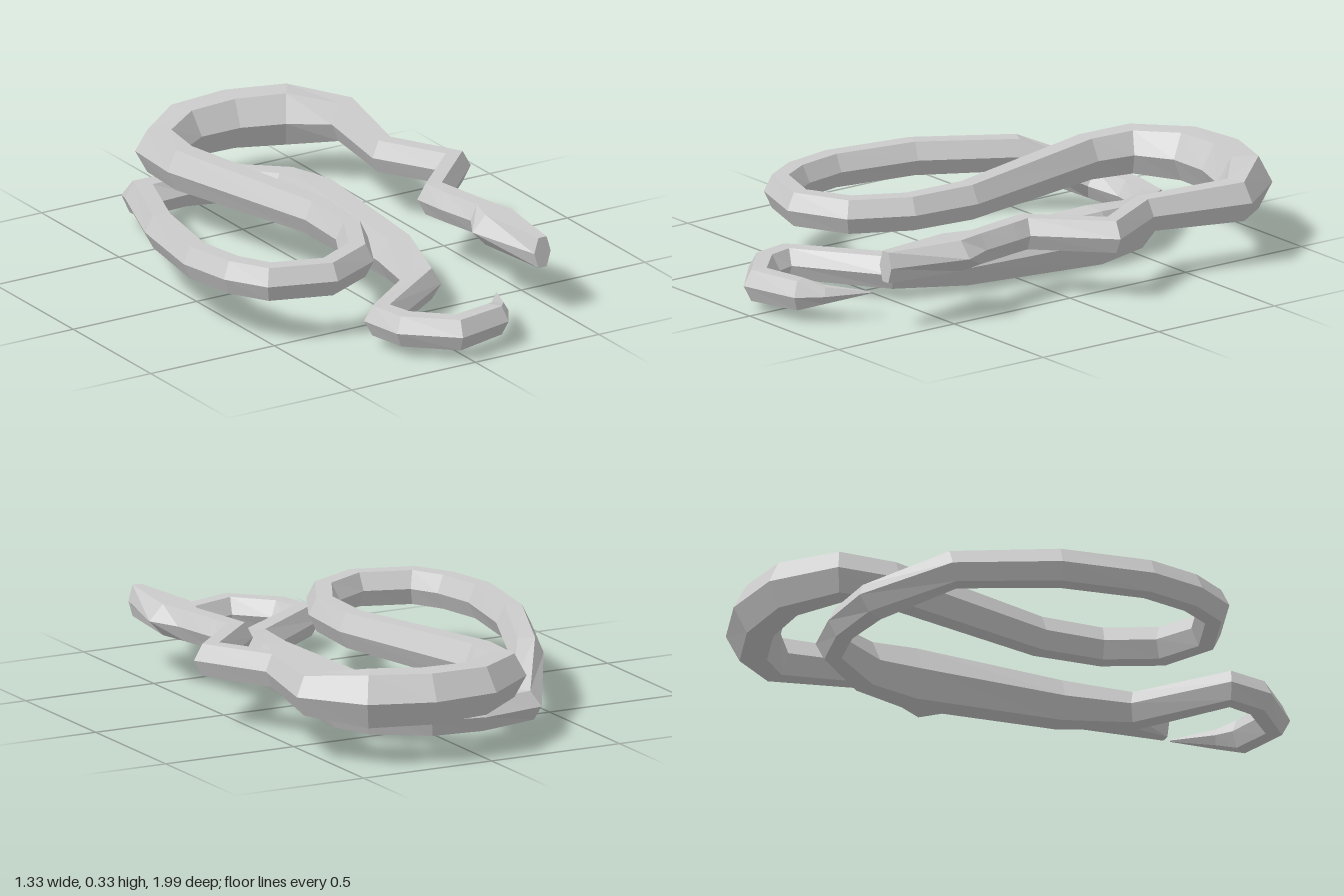
import * as THREE from 'three';

// Stations from snout to tail tip: x, y, z, half width, half height
const HEAD = [
  [0.432, 0.235, 0.745, 0.033, 0.055],
  [0.433, 0.235, 0.46, 0.105, 0.055],
  [0.435, 0.235, 0.355, 0.052, 0.055],
];
const UPPER_BODY = [
  [0.435, 0.235, 0.355, 0.052, 0.055],
  [0.405, 0.235, 0.2, 0.055, 0.055],
  [0.39, 0.235, 0.11, 0.058, 0.056],
  [0.605, 0.235, -0.1, 0.062, 0.057],
  [0.47, 0.235, -0.335, 0.055, 0.058],
  [0.535, 0.235, -0.69, 0.07, 0.07],
  [0.39, 0.235, -0.84, 0.095, 0.094],
  [0.2, 0.235, -0.905, 0.095, 0.09],
  [0.0, 0.235, -0.895, 0.09, 0.085],
  [-0.165, 0.235, -0.775, 0.083, 0.077],
  [-0.182, 0.235, -0.59, 0.068, 0.073],
  [-0.03, 0.232, 0.04, 0.06, 0.062],
  [-0.045, 0.232, 0.275, 0.057, 0.06],
  [-0.14, 0.232, 0.46, 0.06, 0.06],
  [-0.31, 0.232, 0.545, 0.057, 0.06],
  [-0.505, 0.232, 0.48, 0.057, 0.06],
  [-0.575, 0.232, 0.36, 0.057, 0.06],
  [-0.61, 0.232, 0.18, 0.057, 0.06],
  [-0.56, 0.232, -0.13, 0.06, 0.06],
  [-0.425, 0.215, -0.47, 0.06, 0.058],
];
const LOWER_BODY = [
  [-0.425, 0.215, -0.47, 0.06, 0.058],
  [-0.28, 0.105, -0.71, 0.075, 0.055],
  [-0.1, 0.097, -0.73, 0.058, 0.055],
  [0.06, 0.097, -0.695, 0.06, 0.06],
  [0.185, 0.097, -0.515, 0.075, 0.08],
  [0.205, 0.097, -0.33, 0.09, 0.095],
  [0.18, 0.097, 0.22, 0.08, 0.075],
  [0.115, 0.097, 0.475, 0.065, 0.057],
  [-0.19, 0.097, 0.695, 0.06, 0.055],
  [-0.165, 0.097, 0.81, 0.058, 0.055],
  [-0.03, 0.097, 0.937, 0.057, 0.056],
];
const TAIL = [
  [-0.03, 0.097, 0.937, 0.057, 0.056],
  [0.145, 0.097, 0.895, 0.053, 0.052],
  [0.2, 0.097, 0.83, 0.035, 0.03],
  [0.28, 0.097, 0.69, 0.003, 0.003],
];

const SIDES = 6;
const SEGMENTS = [['head', HEAD], ['upperBody', UPPER_BODY], ['lowerBody', LOWER_BODY], ['tail', TAIL]];

// Mitred hexagonal ring at a station, flat on top and pointed at the sides
function ring(prev, here, next) {
  const p = new THREE.Vector3(...here);
  const dir = (a, b) => new THREE.Vector3(b[0] - a[0], b[1] - a[1], b[2] - a[2]).normalize();
  const t = new THREE.Vector3();
  if (prev) t.add(dir(prev, here));
  if (next) t.add(dir(here, next));
  t.normalize();
  const side = new THREE.Vector3(0, 1, 0).cross(t).normalize();
  const up = t.clone().cross(side);
  const pts = [];
  for (let j = 0; j < SIDES; j++) {
    const a = (j / SIDES) * Math.PI * 2;
    pts.push(p.clone()
      .addScaledVector(side, Math.cos(a) * here[3])
      .addScaledVector(up, (Math.sin(a) / Math.sin(Math.PI / 3)) * here[4]));
  }
  return pts;
}

// Skin consecutive rings, with optional caps at the two ends
function skin(rings, capStart, capEnd) {
  const pos = [];
  const tri = (...v) => v.forEach((p) => pos.push(p.x, p.y, p.z));
  for (let i = 0; i < rings.length - 1; i++) {
    for (let j = 0; j < SIDES; j++) {
      const k = (j + 1) % SIDES;
      const [a, b, c, d] = [rings[i][j], rings[i][k], rings[i + 1][k], rings[i + 1][j]];
      tri(a, b, c);
      tri(a, c, d);
    }
  }
  const last = rings[rings.length - 1];
  for (let j = 1; j < SIDES - 1; j++) {
    if (capStart) tri(rings[0][0], rings[0][j + 1], rings[0][j]);
    if (capEnd) tri(last[0], last[j], last[j + 1]);
  }
  const geo = new THREE.BufferGeometry();
  geo.setAttribute('position', new THREE.Float32BufferAttribute(pos, 3));
  geo.computeVertexNormals();
  return geo;
}

export function createModel() {
  const group = new THREE.Group();
  group.name = 'snake';
  const material = new THREE.MeshStandardMaterial({ color: 0xcccccc, flatShading: true });

  // Neighbouring segments share their joint station
  const path = SEGMENTS.flatMap(([, s], i) => (i ? s.slice(1) : s));
  const rings = path.map((s, i) => ring(path[i - 1], s, path[i + 1]));

  let start = 0;
  SEGMENTS.forEach(([name, stations], i) => {
    const end = start + stations.length;
    const mesh = new THREE.Mesh(
      skin(rings.slice(start, end), i === 0, i === SEGMENTS.length - 1), material);
    mesh.name = name;
    group.add(mesh);
    start = end - 1;
  });
  return group;
}
